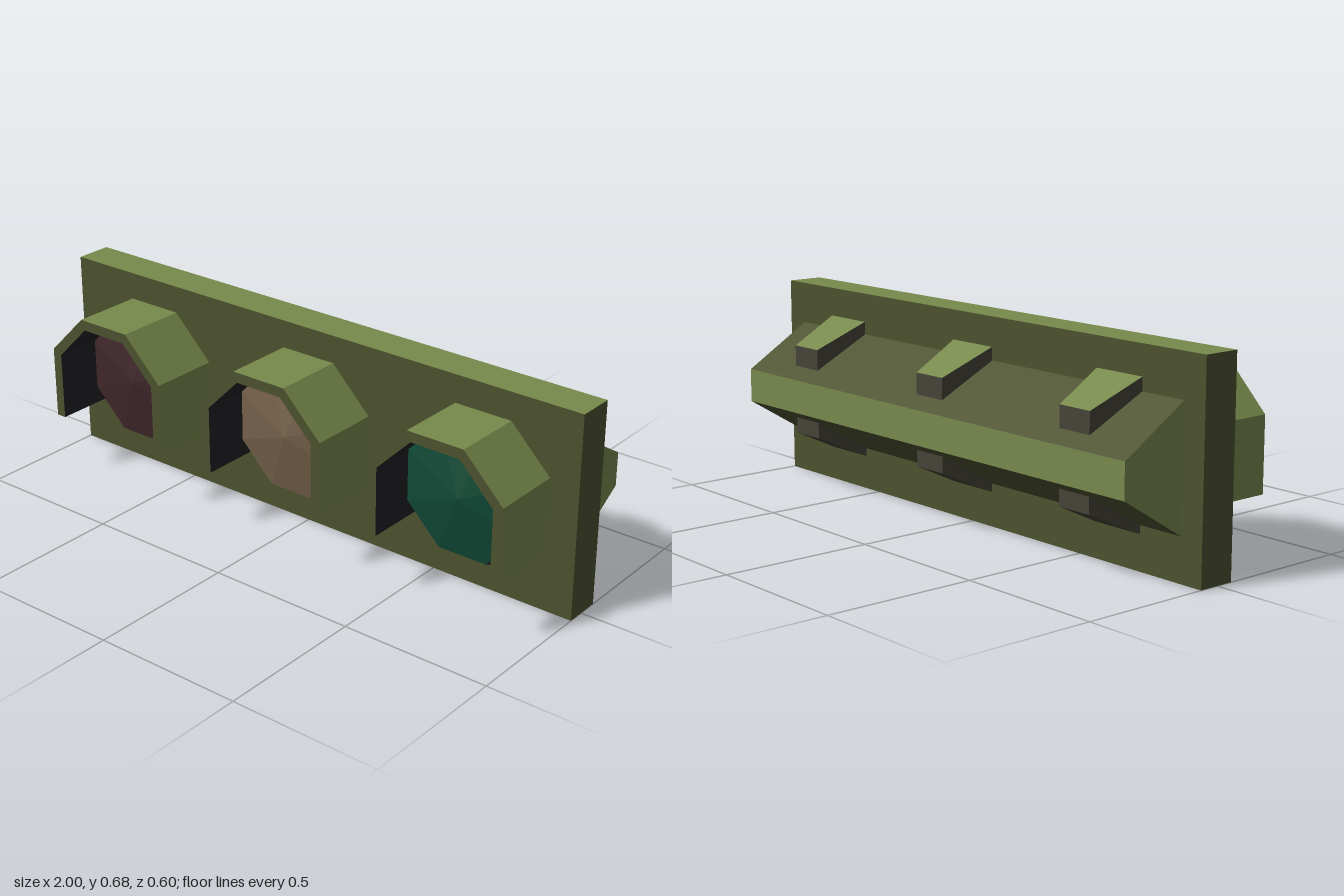
import * as THREE from 'three';

const mat = (name, color) => {
  const m = new THREE.MeshStandardMaterial({ color });
  m.name = name;
  return m;
};

export function createModel() {
  const light = mat('light olive', 0x788a4c);
  const dark = mat('dark olive', 0x4d5330);
  const grey = mat('brown grey', 0x464338);
  const black = mat('black', 0x222226);
  const lensMats = [mat('dark red', 0x40282b), mat('amber', 0x75614a), mat('teal green', 0x104a36)];

  const CY = 0.343;                     // height of the lamp centres
  const FRONT = 0.057, BACK = -0.067;   // faces of the plate
  const root = new THREE.Group();
  root.name = 'signalLight';

  const add = (parent, name, geometry, material) => {
    const m = new THREE.Mesh(geometry, material);
    m.name = name;
    parent.add(m);
    return m;
  };
  const faceted = (g) => {
    const f = g.toNonIndexed();
    f.computeVertexNormals();
    return f;
  };

  // Box running back from the plate, its rear end scaled by sx and sy
  const taperedBox = (w, h, d, sx, sy) => {
    const g = new THREE.BoxGeometry(w, h, d);
    const p = g.attributes.position;
    for (let i = 0; i < p.count; i++) {
      if (p.getZ(i) < 0) p.setXY(i, p.getX(i) * sx, p.getY(i) * sy);
    }
    g.translate(0, 0, BACK - d / 2);
    g.computeVertexNormals();
    return g;
  };

  // Wall along a path in x and y, swept in z; it faces the right of the path
  const wall = (path, z0, z1) => {
    const v = [];
    for (let i = 0; i < path.length - 1; i++) {
      const [a, b] = [path[i], path[i + 1]];
      v.push(a.x, a.y, z0, b.x, b.y, z0, b.x, b.y, z1);
      v.push(a.x, a.y, z0, b.x, b.y, z1, a.x, a.y, z1);
    }
    const g = new THREE.BufferGeometry();
    g.setAttribute('position', new THREE.Float32BufferAttribute(v, 3));
    g.computeVertexNormals();
    return g;
  };

  // Upper part of an octagon with straight legs, relative to the lamp centre
  const arch = (a) => {
    const t = a * Math.tan(Math.PI / 8), foot = 0.2 - CY;
    return [[a, foot], [a, t], [t, a], [-t, a], [-a, t], [-a, foot]].map(([x, y]) => new THREE.Vector2(x, y));
  };

  // Octagonal cylinder lying along z
  const octagon = (frontA, backA, depth) => {
    const k = 1 / Math.cos(Math.PI / 8);
    const g = new THREE.CylinderGeometry(frontA * k, backA * k, depth, 8, 1, true, Math.PI / 8);
    g.rotateX(Math.PI / 2);
    g.translate(0, 0, depth / 2);
    return faceted(g);
  };

  // Mounting plate
  const plate = add(root, 'plate', new THREE.BoxGeometry(2, 0.675, FRONT - BACK), [dark, dark, light, dark, dark, dark]);
  plate.position.set(0, 0.3375, (FRONT + BACK) / 2);

  // Rear housing, wedge shaped
  const housing = add(root, 'rearHousing', taperedBox(1.84, 0.395, 0.23, 1, 0.285), [light, light, dark, dark, dark, light]);
  housing.position.y = 0.338;

  [-0.66, 0, 0.66].forEach((x, i) => {
    // Rib behind each lamp
    const rib = add(root, 'rearRib', taperedBox(0.188, 0.465, 0.176, 0.67, 0.65), [grey, grey, light, grey, grey, grey]);
    rib.position.set(x, 0.346, 0);

    const lamp = new THREE.Group();
    lamp.name = 'lamp';
    lamp.position.set(x, CY, 0);
    root.add(lamp);

    // Bezel and faceted lens
    add(lamp, 'bezel', octagon(0.206, 0.24, 0.083), black).position.z = FRONT;
    add(lamp, 'lens', octagon(0, 0.206, 0.039), lensMats[i]).position.z = 0.14;

    // Hood: outer wall, dark lining, feet and front rim
    const outer = arch(0.24), inner = arch(0.206), z1 = 0.298;
    add(lamp, 'hoodOuter', wall(outer, FRONT, z1), light);
    add(lamp, 'hoodLining', wall([...inner].reverse(), FRONT, z1), black);
    add(lamp, 'hoodFoot', wall([inner[0], outer[0]], FRONT, z1), dark);
    add(lamp, 'hoodFoot', wall([outer[5], inner[5]], FRONT, z1), dark);
    const rim = new THREE.Shape([...outer, ...[...inner].reverse()]);
    add(lamp, 'hoodRim', new THREE.ShapeGeometry(rim), dark).position.z = z1;
  });

  return root;
}
